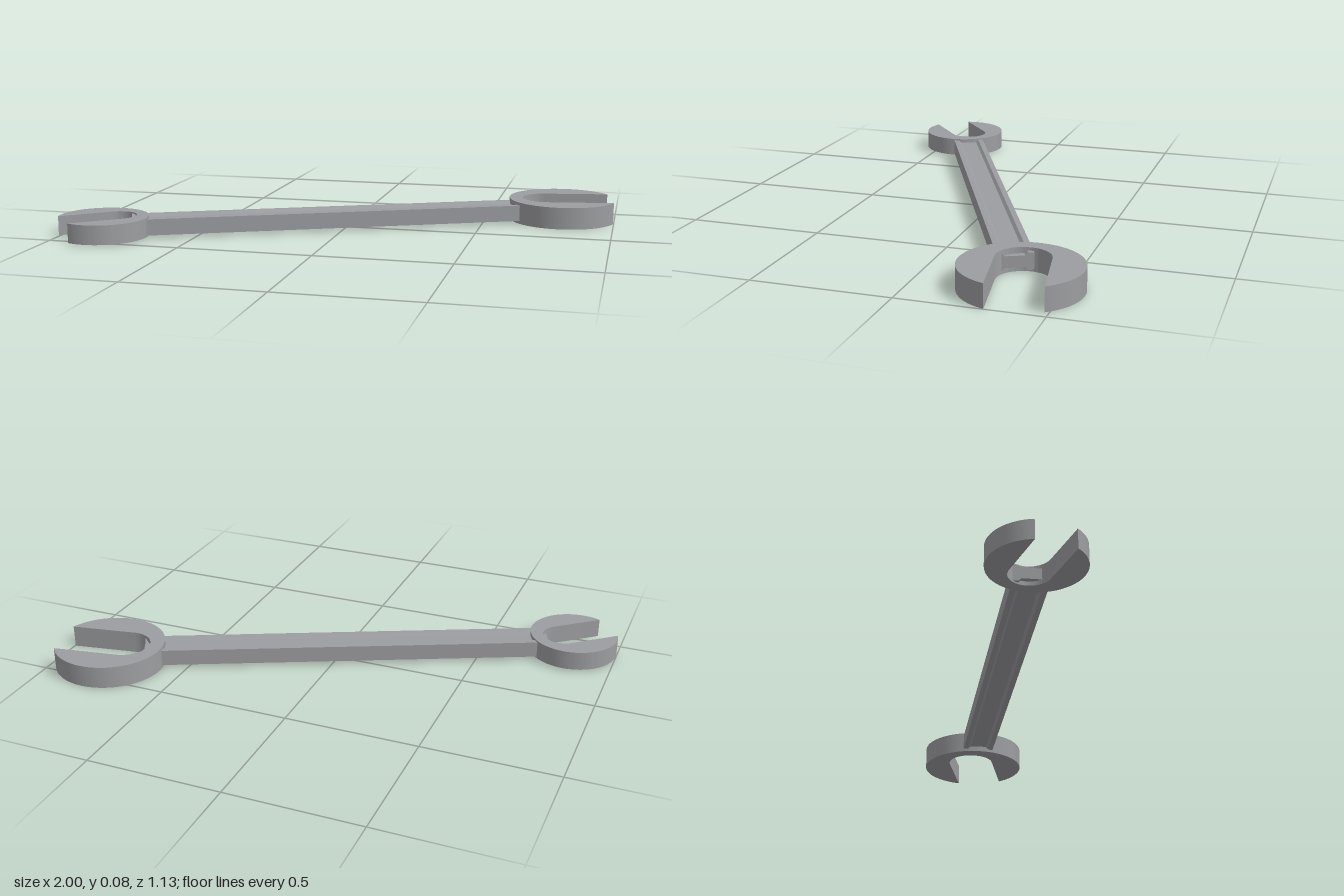
import * as THREE from 'three';
import { toCreasedNormals } from 'three/addons/utils/BufferGeometryUtils.js';

const deg = THREE.MathUtils.degToRad;

// Round open-ended head: a disc with a round-bottomed slot opening towards +x
function headGeometry(radius, slotHalf, slotCentre, thickness) {
  const a = Math.asin(slotHalf / radius);
  const shape = new THREE.Shape();
  shape.absarc(0, 0, radius, a, Math.PI * 2 - a, false);
  shape.lineTo(slotCentre, -slotHalf);
  shape.absarc(slotCentre, 0, slotHalf, -Math.PI / 2, -Math.PI * 1.5, true);
  shape.closePath();
  const geo = new THREE.ExtrudeGeometry(shape, { depth: thickness, bevelEnabled: false, curveSegments: 48 });
  geo.translate(0, 0, -thickness / 2).rotateX(-Math.PI / 2);
  return toCreasedNormals(geo, deg(30));
}

// Handle bar along x with a sloped groove in its upper and lower faces
function handleGeometry(x0, x1) {
  const w = 0.063, h = 0.0305, rim = 0.043, floor = 0.033, web = 0.0205;
  const upper = [[w, h], [rim, h], [floor, web], [-floor, web], [-rim, h], [-w, h]];
  const lower = upper.map(([x, y]) => [-x, -y]);
  const shape = new THREE.Shape([...upper, ...lower].map(([x, y]) => new THREE.Vector2(x, y)));
  const geo = new THREE.ExtrudeGeometry(shape, { depth: x1 - x0, bevelEnabled: false });
  return geo.rotateY(Math.PI / 2).translate(x0, 0, 0);
}

export function createModel() {
  const model = new THREE.Group();
  model.name = 'spanner';
  const steel = new THREE.MeshStandardMaterial({ color: 0x9c9da0 });
  steel.name = 'steel grey';

  // Everything is laid out along x, then the whole tool is turned on the ground
  const tool = new THREE.Group();
  tool.name = 'openEndSpanner';
  tool.position.set(-0.0175, 0.042, 0.018);
  tool.rotation.y = deg(24.9);
  model.add(tool);

  const add = (name, geo, x = 0, turn = 0) => {
    const mesh = new THREE.Mesh(geo, steel);
    mesh.name = name;
    mesh.position.x = x;
    mesh.rotation.y = deg(turn);
    tool.add(mesh);
  };

  const reach = 0.898;
  add('handle', handleGeometry(-reach + 0.105, reach - 0.132));
  add('largeHead', headGeometry(0.21, 0.094, -0.064, 0.084), reach, -15);
  add('smallHead', headGeometry(0.168, 0.0735, -0.052, 0.072), -reach, 195);

  return model;
}
